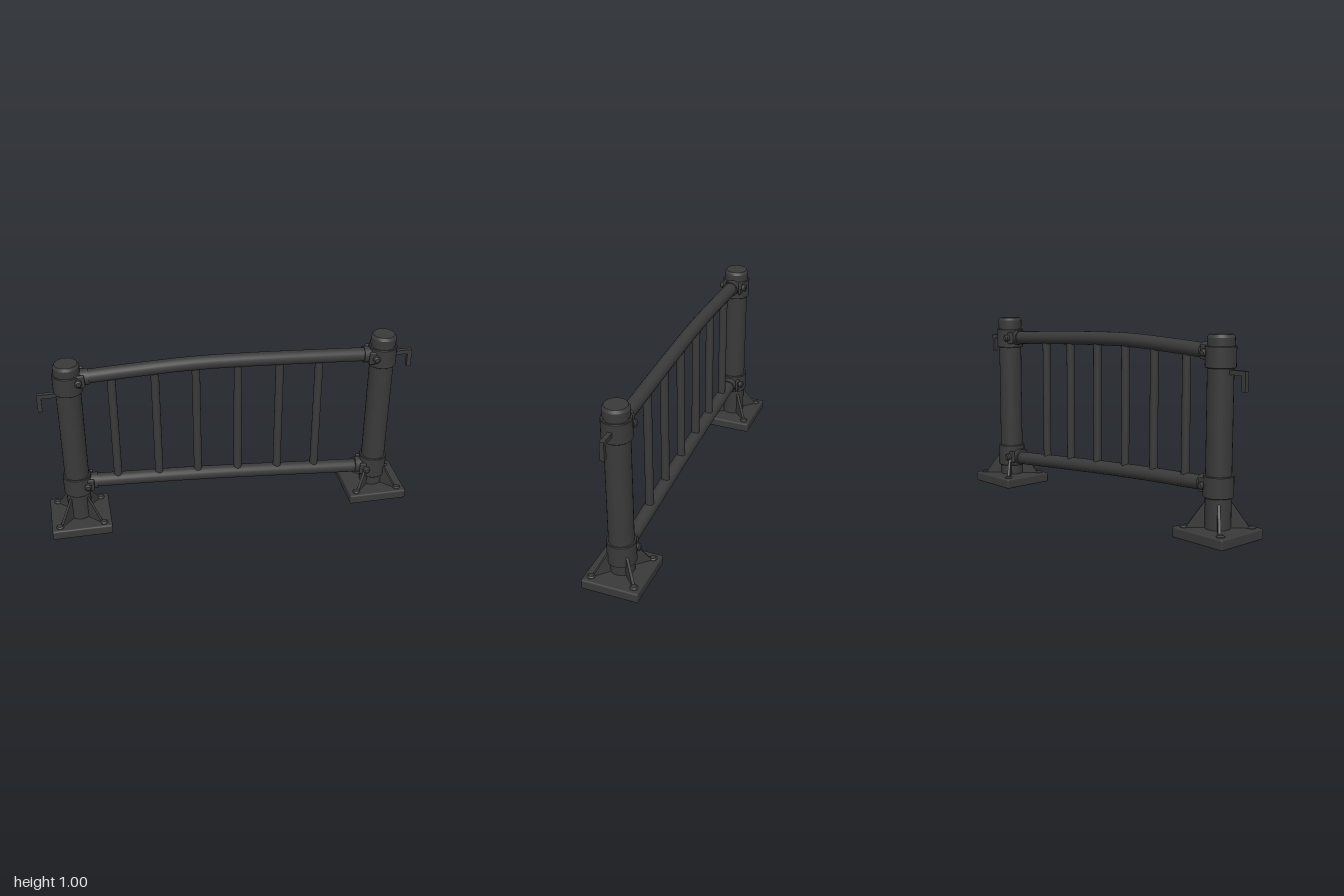
import * as THREE from 'three';
import { toCreasedNormals } from 'three/addons/utils/BufferGeometryUtils.js';
import { RoundedBoxGeometry } from 'three/addons/geometries/RoundedBoxGeometry.js';

const iron = new THREE.MeshStandardMaterial({ color: 0x3a3a3a });
iron.name = 'darkIron';

function add(parent, name, geometry, x = 0, y = 0, z = 0) {
  const mesh = new THREE.Mesh(geometry, iron);
  mesh.name = name;
  mesh.position.set(x, y, z);
  parent.add(mesh);
  return mesh;
}

// Solid of revolution from [radius, height] pairs, with crisp edges
function turned(profile, sides = 28) {
  const points = profile.map(([r, y]) => new THREE.Vector2(r, y));
  return toCreasedNormals(new THREE.LatheGeometry(points, sides), 0.5);
}

function collar(bottom, top, r = 0.076) {
  return turned([[0.06, bottom], [r - 0.003, bottom], [r, bottom + 0.003],
    [r, top - 0.003], [r - 0.003, top], [0.06, top]]);
}

// Rod between two points
function rod(parent, name, a, b, r, sides = 20) {
  const dir = b.clone().sub(a);
  const mesh = add(parent, name, new THREE.CylinderGeometry(r, r, dir.length(), sides));
  mesh.position.copy(a).add(b).multiplyScalar(0.5);
  mesh.quaternion.setFromUnitVectors(new THREE.Vector3(0, 1, 0), dir.normalize());
  return mesh;
}

// Post with foot, gussets, collars and hook; side is -1 or +1
function makePost(side, upper, lower, hookTop) {
  const post = new THREE.Group();
  post.name = side < 0 ? 'rightPost' : 'leftPost';
  post.position.x = side * 0.837;

  add(post, 'basePlate', new RoundedBoxGeometry(0.326, 0.055, 0.306, 2, 0.009), 0, 0.0275, 0);
  add(post, 'column', turned([[0, 0.04], [0.065, 0.04], [0.065, 0.945], [0.068, 0.945],
    [0.068, 0.985], [0.058, 1], [0, 1]]));
  add(post, 'upperCollar', collar(upper[0], upper[1]));
  add(post, 'lowerCollar', collar(lower[0], lower[1]));

  // Diagonal gussets and corner bolts
  const web = new THREE.Shape([[0.04, 0.05], [0.152, 0.05], [0.152, 0.063], [0.066, 0.185], [0.04, 0.185]]
    .map(([x, y]) => new THREE.Vector2(x, y)));
  const webGeometry = new THREE.ExtrudeGeometry(web, { depth: 0.014, bevelEnabled: false });
  webGeometry.translate(0, 0, -0.007);
  for (let i = 0; i < 4; i++) {
    const angle = Math.PI / 4 + i * Math.PI / 2;
    add(post, 'gusset', webGeometry).rotation.y = angle;
    add(post, 'baseBolt', turned([[0.021, 0.05], [0.021, 0.058], [0.014, 0.065], [0, 0.065]], 14),
      Math.sign(Math.cos(angle)) * 0.119, 0, Math.sign(Math.sin(angle)) * 0.115);
  }

  // Bent hook on the outer face
  const t = 0.023;
  add(post, 'hookArm', new THREE.BoxGeometry(0.103, t, t), side * 0.1115, hookTop - t / 2, 0);
  add(post, 'hookDrop', new THREE.BoxGeometry(t, 0.1, t), side * 0.1515, hookTop - 0.05, 0);
  return post;
}

// Rail end fitting: lug, sleeve and cross bolt
function makeFitting(group, side, y, slope) {
  const fitting = new THREE.Group();
  fitting.name = 'railFitting';
  fitting.position.set(side * 0.775, y, 0);
  fitting.rotation.z = Math.atan(slope);
  const sleeve = add(fitting, 'railSleeve', new THREE.CylinderGeometry(0.043, 0.043, 0.05, 24), -side * 0.022, 0, 0);
  sleeve.rotation.z = Math.PI / 2;
  for (const z of [-1, 1]) {
    add(fitting, 'clampEar', new RoundedBoxGeometry(0.065, 0.07, 0.016, 2, 0.006), side * 0.008, 0, z * 0.048);
    const bolt = add(fitting, 'clampBolt', turned([[0.019, 0], [0.019, 0.02], [0.012, 0.026], [0, 0.026]], 14),
      side * 0.01, 0, z * 0.053);
    bolt.rotation.x = z * Math.PI / 2;
  }
  group.add(fitting);
}

// Straight-segment lookup of rail height
function heightAt(path, x) {
  let i = 1;
  while (i < path.length - 1 && path[i][0] < x) i++;
  const [x0, y0] = path[i - 1], [x1, y1] = path[i];
  return y0 + (y1 - y0) * (x - x0) / (x1 - x0);
}

export function createModel() {
  const model = new THREE.Group();
  model.name = 'railingSection';
  model.add(makePost(-1, [0.84, 0.945], [0.21, 0.318], 0.835));
  model.add(makePost(1, [0.825, 0.933], [0.11, 0.233], 0.892));

  // Gently bowed rails
  const topPath = [[-0.79, 0.912], [-0.5, 0.924], [-0.2, 0.931], [0.1, 0.922], [0.79, 0.883]];
  const bottomPath = [[-0.79, 0.265], [-0.2, 0.233], [0.79, 0.155]];
  for (const [name, path] of [['topRail', topPath], ['bottomRail', bottomPath]]) {
    const curve = new THREE.CatmullRomCurve3(path.map(([x, y]) => new THREE.Vector3(x, y, 0)));
    add(model, name, new THREE.TubeGeometry(curve, 28, 0.037, 20, false));
    const last = path.length - 1;
    makeFitting(model, -1, path[0][1], (path[1][1] - path[0][1]) / (path[1][0] - path[0][0]));
    makeFitting(model, 1, path[last][1] + (name === 'bottomRail' ? 0.01 : 0),
      (path[last][1] - path[last - 1][1]) / (path[last][0] - path[last - 1][0]));
  }

  // Upright bars
  for (const x of [-0.615, -0.39, -0.175, 0.048, 0.273, 0.488]) {
    rod(model, 'bar', new THREE.Vector3(x, heightAt(bottomPath, x), 0),
      new THREE.Vector3(x, heightAt(topPath, x), 0), 0.022, 16);
  }
  return model;
}
